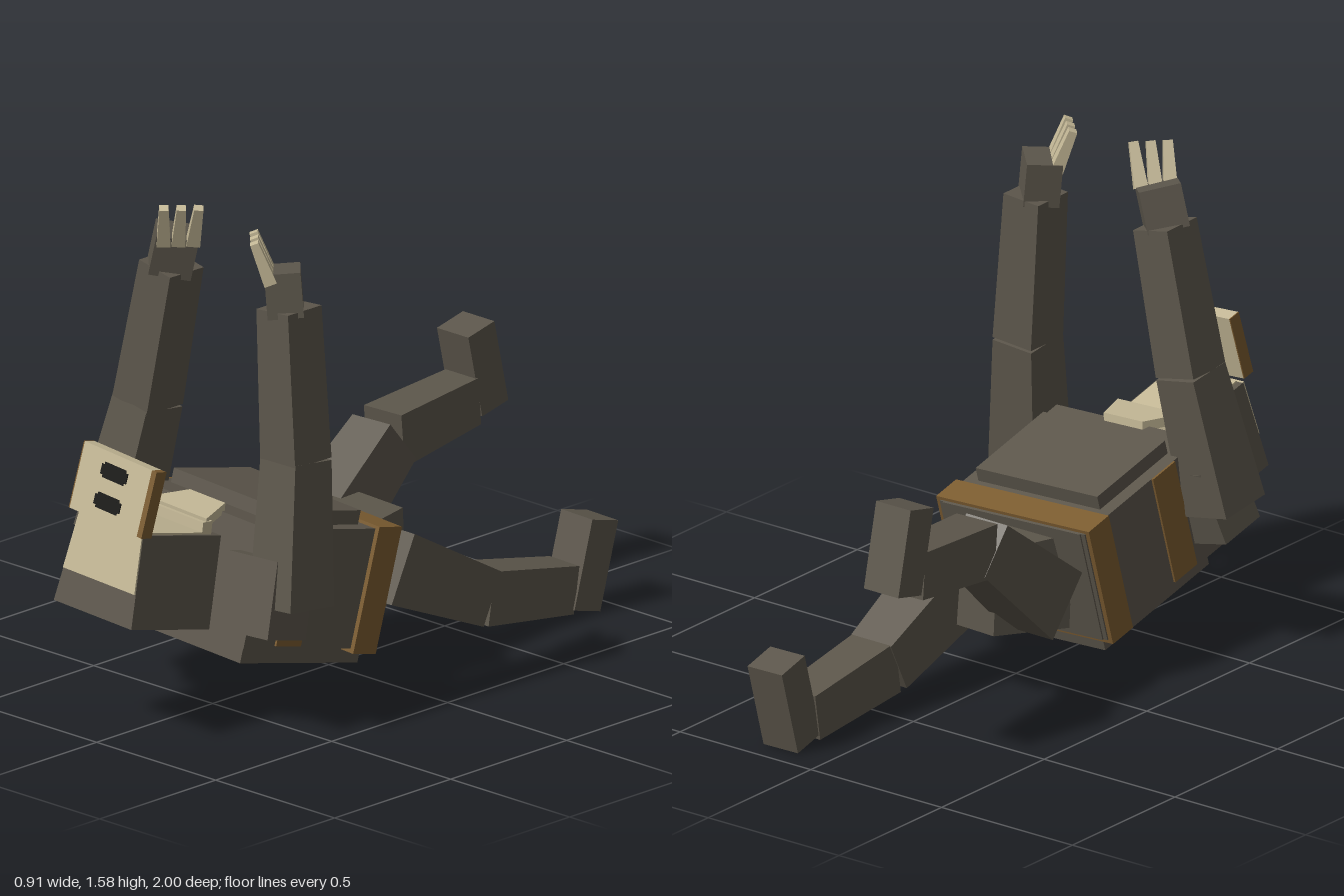
import * as THREE from 'three';

const mat = (name, color) => {
  const m = new THREE.MeshStandardMaterial({ color });
  m.name = name;
  return m;
};
const V = (x, y, z) => new THREE.Vector3(x, y, z);

export function createModel() {
  const grey = mat('stone grey', 0x5c564b);
  const brown = mat('leather brown', 0x7c5c30);
  const tan = mat('bone tan', 0xc4b896);
  const black = mat('eye black', 0x121210);
  const model = new THREE.Group();

  const add = (parent, name, geo, material) => {
    const mesh = new THREE.Mesh(geo, material);
    mesh.name = name;
    parent.add(mesh);
    return mesh;
  };
  // Box given by its ranges on each axis
  const box = (parent, name, material, x0, x1, y0, y1, z0, z1) => {
    const mesh = add(parent, name, new THREE.BoxGeometry(x1 - x0, y1 - y0, z1 - z0), material);
    mesh.position.set((x0 + x1) / 2, (y0 + y1) / 2, (z0 + z1) / 2);
    return mesh;
  };
  // Tapered box from a to b; sizes are [width along side, depth]
  const segment = (parent, name, material, a, b, sizeA, sizeB, side = V(1, 0, 0)) => {
    const dir = b.clone().sub(a).normalize();
    const s = side.clone().addScaledVector(dir, -side.dot(dir)).normalize();
    const d = s.clone().cross(dir);
    const geo = new THREE.BoxGeometry(1, 1, 1);
    const p = geo.attributes.position;
    for (let i = 0; i < p.count; i++) {
      const t = p.getY(i) + 0.5;
      const q = a.clone().lerp(b, t)
        .addScaledVector(s, p.getX(i) * THREE.MathUtils.lerp(sizeA[0], sizeB[0], t))
        .addScaledVector(d, p.getZ(i) * THREE.MathUtils.lerp(sizeA[1], sizeB[1], t));
      p.setXYZ(i, q.x, q.y, q.z);
    }
    geo.computeVertexNormals();
    return add(parent, name, geo, material);
  };

  // Body frame: pitched up at the front, rolled slightly
  const pitch = new THREE.Group();
  pitch.name = 'upperBody';
  pitch.rotation.x = -0.237;
  model.add(pitch);
  const body = new THREE.Group();
  body.name = 'torsoAndHead';
  body.position.set(-0.01, 0.31, 0);
  body.rotation.z = -0.05;
  pitch.add(body);

  // Torso, plates, belt and side bands
  box(body, 'torso', grey, -0.28, 0.28, -0.185, 0.19, 0.1, 0.68);
  box(body, 'backPlate', grey, -0.235, 0.235, 0.18, 0.235, 0.236, 0.575);
  box(body, 'bellyPlate', grey, -0.243, 0.243, -0.24, -0.17, 0.12, 0.64);
  box(body, 'belt', brown, -0.295, 0.295, -0.198, 0.2, 0.105, 0.205);
  box(body, 'beltCore', grey, -0.265, 0.265, -0.185, 0.19, 0.095, 0.15);
  for (const s of [-1, 1]) {
    box(body, 'sideBand', brown, s * 0.283 - 0.004, s * 0.283 + 0.004, -0.175, 0.19, 0.435, 0.545);
  }

  // Lower head with a tan face panel and mouth lining
  segment(body, 'jaw', grey, V(0, -0.156, 0.893), V(0, 0.13, 0.893), [0.33, 0.345], [0.27, 0.345]);
  segment(body, 'facePanel', tan, V(0, -0.05, 1.066), V(0, 0.131, 1.066), [0.304, 0.008], [0.268, 0.008]);
  box(body, 'mouthLining', tan, -0.115, 0.125, 0.128, 0.136, 0.76, 1.06);
  segment(body, 'throatPlate', tan, V(0, -0.01, 0.755), V(0, 0.17, 0.78), [0.25, 0.04], [0.25, 0.04]);
  segment(body, 'neckSlope', tan, V(0, 0.165, 0.785), V(0, 0.2, 0.66), [0.25, 0.03], [0.15, 0.03]);

  // Raised face lid with eyes
  const lid = new THREE.Group();
  lid.name = 'faceLid';
  lid.position.set(0.018, 0.242, 1.092);
  lid.rotation.z = -0.03;
  body.add(lid);
  box(lid, 'lidPlate', tan, -0.15, 0.138, -0.105, 0.105, -0.022, 0.022);
  box(lid, 'lidSide', brown, 0.138, 0.158, -0.105, 0.105, -0.022, 0.022);
  box(lid, 'lidSide', brown, -0.154, -0.15, -0.105, 0.105, -0.022, 0.022);
  for (const y of [0.048, -0.046]) {
    box(lid, 'eye', black, -0.06, 0.05, y - 0.016, y + 0.016, 0.021, 0.025);
    box(lid, 'eye', black, -0.05, 0.04, y - 0.024, y + 0.024, 0.021, 0.0245);
  }

  // Shoulder blocks
  for (const [x, y, roll] of [[0.29, 0.285, 0.05], [-0.295, 0.335, -0.24]]) {
    const pad = add(pitch, 'shoulder', new THREE.BoxGeometry(0.2, 0.24, 0.17), grey);
    pad.position.set(x, y, 0.645);
    pad.rotation.z = roll;
  }

  // Raised arms: shoulder end, elbow, wrist, palm end, finger root, finger tip
  const arms = [
    [1, V(0.37, 0.41, 0.54), V(0.338, 0.855, 0.488), V(0.304, 1.33, 0.483),
      V(0.3, 1.31, 0.493), V(0.285, 1.45, 0.493), V(0.262, 1.42, 0.52), V(0.225, 1.55, 0.553)],
    [-1, V(-0.37, 0.465, 0.54), V(-0.285, 0.895, 0.488), V(-0.19, 1.35, 0.483),
      V(-0.19, 1.335, 0.493), V(-0.155, 1.465, 0.493), V(-0.125, 1.44, 0.52), V(-0.08, 1.57, 0.553)],
  ];
  for (const [s, shoulder, elbow, wrist, palmA, palmB, root, tip] of arms) {
    segment(model, 'upperArm', grey, shoulder, elbow, [0.175, 0.19], [0.147, 0.157]);
    segment(model, 'forearm', grey, elbow, wrist, [0.147, 0.157], [0.133, 0.145]);
    const row = V(s * 0.7, 0, 0.7);
    segment(model, 'palm', grey, palmA, palmB, [0.13, 0.11], [0.13, 0.11], row);
    for (const k of [-1, 0, 1]) {
      segment(model, 'finger', tan, root.clone().addScaledVector(row, k * 0.045),
        tip.clone().addScaledVector(row, k * 0.053), [0.042, 0.04], [0.028, 0.026], row);
    }
  }

  // Pelvis
  segment(model, 'pelvis', grey, V(0, 0.33, 0.05), V(0.015, 0.345, -0.21), [0.36, 0.3], [0.21, 0.27]);

  // Legs: hip, knee, ankle, sole, toe
  const legs = [
    [V(0.14, 0.337, -0.083), V(0.155, 0.147, -0.47), V(0.17, 0.088, -0.83),
      V(0.175, 0.015, -0.868), V(0.18, 0.288, -0.94)],
    [V(-0.155, 0.3, -0.07), V(-0.17, 0.583, -0.414), V(-0.19, 0.615, -0.775),
      V(-0.195, 0.575, -0.85), V(-0.195, 0.84, -0.79)],
  ];
  for (const [hip, knee, ankle, sole, toe] of legs) {
    segment(model, 'thigh', grey, hip, knee, [0.19, 0.225], [0.155, 0.175]);
    segment(model, 'shin', grey, knee, ankle, [0.15, 0.17], [0.13, 0.15]);
    segment(model, 'foot', grey, sole, toe, [0.132, 0.115], [0.132, 0.115]);
  }
  return model;
}
